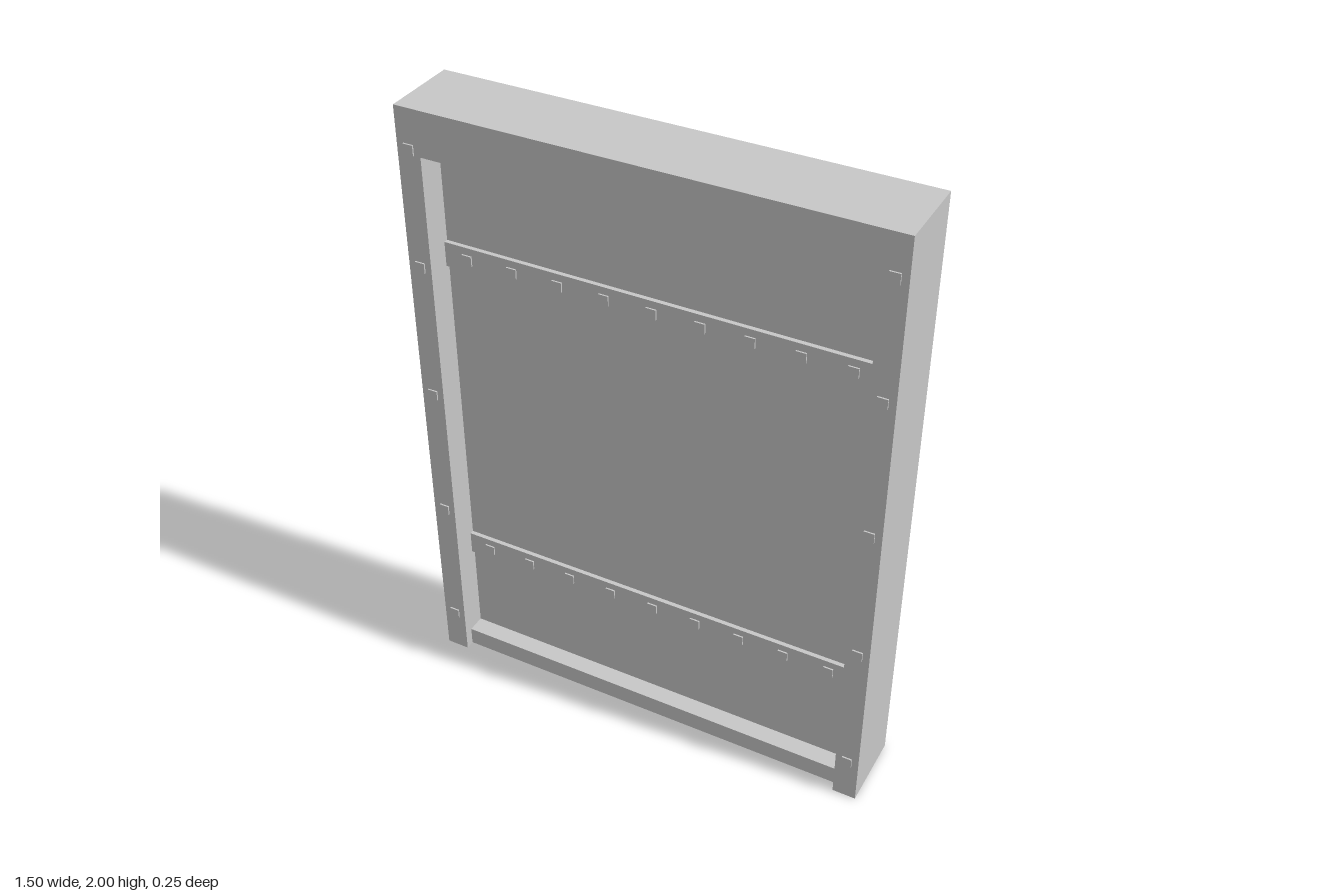
import * as THREE from 'three';

export function createModel() {
  const model = new THREE.Group();
  model.name = 'framedDoor';
  const steel = new THREE.MeshStandardMaterial({ color: 0xc7c7c7 });
  steel.name = 'light grey steel';

  const add = (name, geometry, parent = model) => {
    const mesh = new THREE.Mesh(geometry, steel);
    mesh.name = name;
    parent.add(mesh);
    return mesh;
  };
  // box given by its extents
  const slab = (name, x0, x1, y0, y1, z0, z1) =>
    add(name, new THREE.BoxGeometry(x1 - x0, y1 - y0, z1 - z0))
      .position.set((x0 + x1) / 2, (y0 + y1) / 2, (z0 + z1) / 2);

  const W = 0.75, IN = 0.675, TOP = 1.858;
  const BACK = -0.127, FRONT = 0.122, PANEL = 0.033, BAR = 0.047;

  // door frame: two jambs and a header in one piece
  const outline = new THREE.Shape([
    [-W, 0], [-IN, 0], [-IN, TOP], [IN, TOP], [IN, 0], [W, 0], [W, 2], [-W, 2],
  ].map(([x, y]) => new THREE.Vector2(x, y)));
  add('frame', new THREE.ExtrudeGeometry(outline, { depth: FRONT - BACK, bevelEnabled: false }))
    .position.z = BACK;

  // recessed door leaf and threshold
  slab('doorPanel', -IN, IN, 0, TOP, -0.037, PANEL);
  slab('threshold', -IN, IN, 0, 0.062, -0.097, 0.092);

  // small flat square rivets
  const RIVET = 0.005;
  const rivetGeometry = new THREE.BoxGeometry(0.032, 0.032, RIVET);
  const rivets = new THREE.Group();
  rivets.name = 'rivets';
  model.add(rivets);
  const rivet = (name, x, y, z) =>
    add(name, rivetGeometry, rivets).position.set(x, y, z + RIVET / 2);

  // reinforcing bars with a row of rivets each
  for (const [y0, y1] of [[0.377, 0.455], [1.474, 1.554]]) {
    slab('crossBar', -IN, IN, y0, y1, PANEL, BAR);
    for (let i = -4; i <= 4; i++) rivet('barRivet', i * 0.15, (y0 + y1) / 2, BAR);
  }

  // rivets down both jambs
  for (const side of [-1, 1])
    for (const y of [0.15, 0.6, 1.05, 1.5, 1.875]) rivet('frameRivet', side * 0.712, y, FRONT);

  return model;
}
